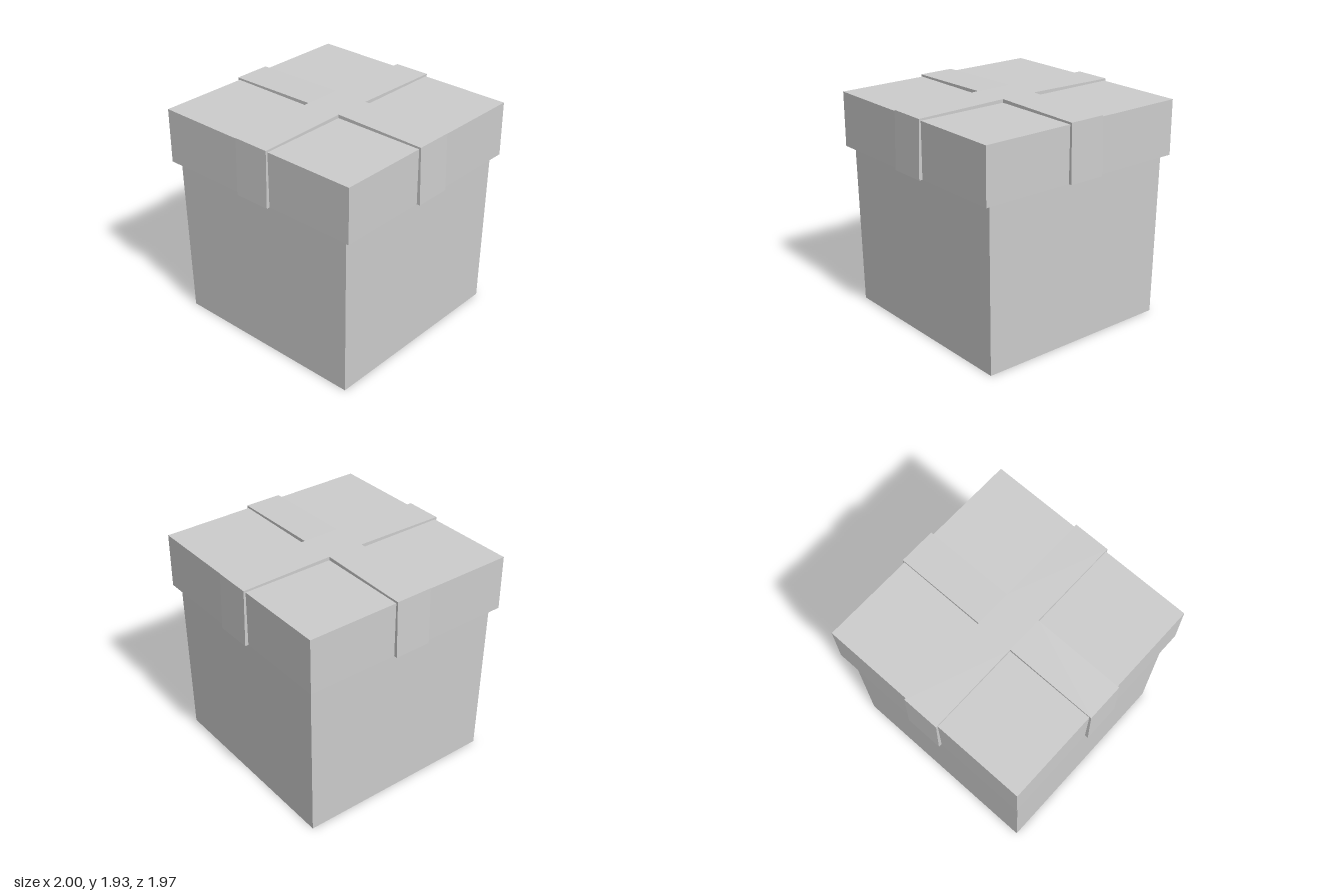
import * as THREE from 'three';

const material = new THREE.MeshStandardMaterial({ color: 0xcccccc, flatShading: true });
const LID_BOTTOM = 1.43, LID_TOP = 1.905, RIBBON_TOP = 1.935, HALF_RIBBON = 0.163;

// Box between two heights whose lower end may be narrower than its upper end
function taperedBox(name, y0, y1, lower, upper) {
  const geometry = new THREE.BoxGeometry(2, y1 - y0, 2);
  const p = geometry.attributes.position;
  for (let i = 0; i < p.count; i++) {
    const [hx, hz] = p.getY(i) < 0 ? lower : upper;
    p.setX(i, p.getX(i) * hx);
    p.setZ(i, p.getZ(i) * hz);
  }
  geometry.translate(0, (y0 + y1) / 2, 0);
  geometry.computeVertexNormals();
  const mesh = new THREE.Mesh(geometry, material);
  mesh.name = name;
  return mesh;
}

// Ribbon arm: runs out over the lid along +x and folds down its side
function ribbonArm(name, lidHalf, topReach, bottomReach, angle) {
  const profile = new THREE.Shape([
    [HALF_RIBBON, LID_TOP], [lidHalf, LID_TOP], [lidHalf, LID_BOTTOM],
    [bottomReach, LID_BOTTOM], [topReach, 1.922], [HALF_RIBBON, RIBBON_TOP],
  ].map(([x, y]) => new THREE.Vector2(x, y)));
  const geometry = new THREE.ExtrudeGeometry(profile, { depth: HALF_RIBBON * 2, bevelEnabled: false });
  geometry.translate(0, 0, -HALF_RIBBON);
  const mesh = new THREE.Mesh(geometry, material);
  mesh.rotation.y = angle;
  mesh.name = name;
  return mesh;
}

export function createModel() {
  const model = new THREE.Group();
  model.name = 'giftBox';

  // Box and overhanging lid
  model.add(taperedBox('boxBody', 0, LID_BOTTOM, [0.89, 0.898], [0.907, 0.911]));
  model.add(taperedBox('lid', LID_BOTTOM, LID_TOP, [0.97, 0.956], [0.97, 0.956]));

  // Ribbon cross: square centre and four arms
  const ribbon = new THREE.Group();
  ribbon.name = 'ribbon';
  const centre = [HALF_RIBBON, HALF_RIBBON];
  ribbon.add(taperedBox('ribbonCentre', LID_TOP, RIBBON_TOP, centre, centre));
  ['Left', 'Back', 'Right', 'Front'].forEach((side, i) => {
    const reach = i % 2 ? [0.956, 0.973, 0.985] : [0.97, 0.987, 1];
    ribbon.add(ribbonArm('ribbonArm' + side, ...reach, i * Math.PI / 2));
  });
  model.add(ribbon);
  return model;
}
